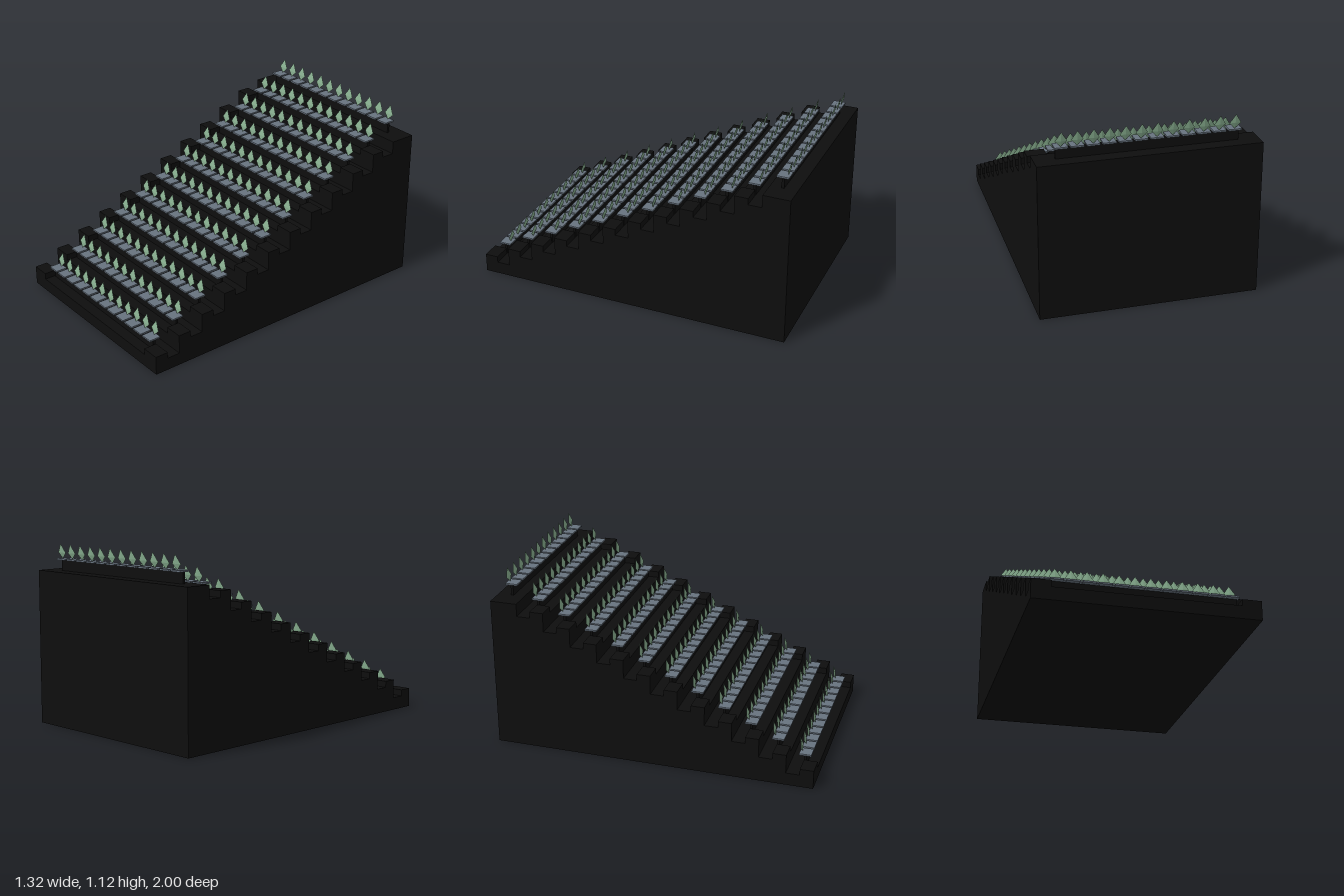
import * as THREE from 'three';

const ROWS = 12, COLS = 12;
const RUN = 2 / ROWS, RISE = 0.079, HALF_W = 0.658;

// Thin leaning kite with its lower tip at the origin
function kiteGeometry() {
  const g = new THREE.OctahedronGeometry(1);
  const p = g.attributes.position;
  for (let i = 0; i < p.count; i++) {
    const y = p.getY(i);
    const h = 0.036 + y * (y > 0 ? 0.056 : 0.036);
    p.setXYZ(i, p.getX(i) * 0.035, h, p.getZ(i) * 0.005 - h * 0.2);
  }
  g.computeVertexNormals();
  return g;
}

export function createModel() {
  const black = new THREE.MeshStandardMaterial({ color: 0x0e0e0e });
  black.name = 'black structure';
  const grey = new THREE.MeshStandardMaterial({ color: 0x68737f });
  grey.name = 'slate seat';
  const green = new THREE.MeshStandardMaterial({ color: 0x87ae8f });
  green.name = 'sage backrest';

  const model = new THREE.Group();
  model.name = 'tieredSeating';

  const add = (parent, name, geometry, material, x, y, z) => {
    const m = new THREE.Mesh(geometry, material);
    m.name = name;
    m.position.set(x, y, z);
    parent.add(m);
  };

  // Stepped base: side profile extruded across the width (shape x becomes -z)
  const profile = new THREE.Shape();
  profile.moveTo(-1, 0);
  for (let i = 0; i < ROWS; i++) {
    profile.lineTo(-1 + i * RUN, (i + 1) * RISE);
    profile.lineTo(-1 + (i + 1) * RUN, (i + 1) * RISE);
  }
  profile.lineTo(1, 0);
  const base = new THREE.ExtrudeGeometry(profile, { depth: 2 * HALF_W, bevelEnabled: false });
  base.translate(0, 0, -HALF_W).rotateY(Math.PI / 2);
  add(model, 'steppedBase', base, black, 0, 0, 0);

  const aisleW = 0.115;
  const stepGeo = new THREE.BoxGeometry(aisleW, RISE / 2, RUN / 2);
  const railGeo = new THREE.BoxGeometry(1.07, 0.067, 0.016);
  const seatGeo = new THREE.BoxGeometry(0.077, 0.01, 0.074);
  const backGeo = kiteGeometry();

  for (let r = 0; r < ROWS; r++) {
    const row = new THREE.Group();
    row.name = 'row' + (r + 1);
    row.position.set(0, (r + 1) * RISE, 1 - r * RUN);
    model.add(row);

    // Aisle half steps on both sides, none on the top tier
    if (r < ROWS - 1) {
      for (const s of [-1, 1]) {
        add(row, 'aisleStep', stepGeo, black, s * (HALF_W - aisleW / 2), RISE / 4, -RUN / 4);
      }
    }

    // Continuous support under the seats
    add(row, 'seatSupport', railGeo, black, 0, 0.0335, -0.077);

    // Seats and backrests
    for (let c = 0; c < COLS; c++) {
      const x = (c - (COLS - 1) / 2) * 0.0919;
      add(row, 'seat', seatGeo, grey, x, 0.072, -0.077);
      add(row, 'backrest', backGeo, green, x, 0.076, -0.098);
    }
  }
  return model;
}
